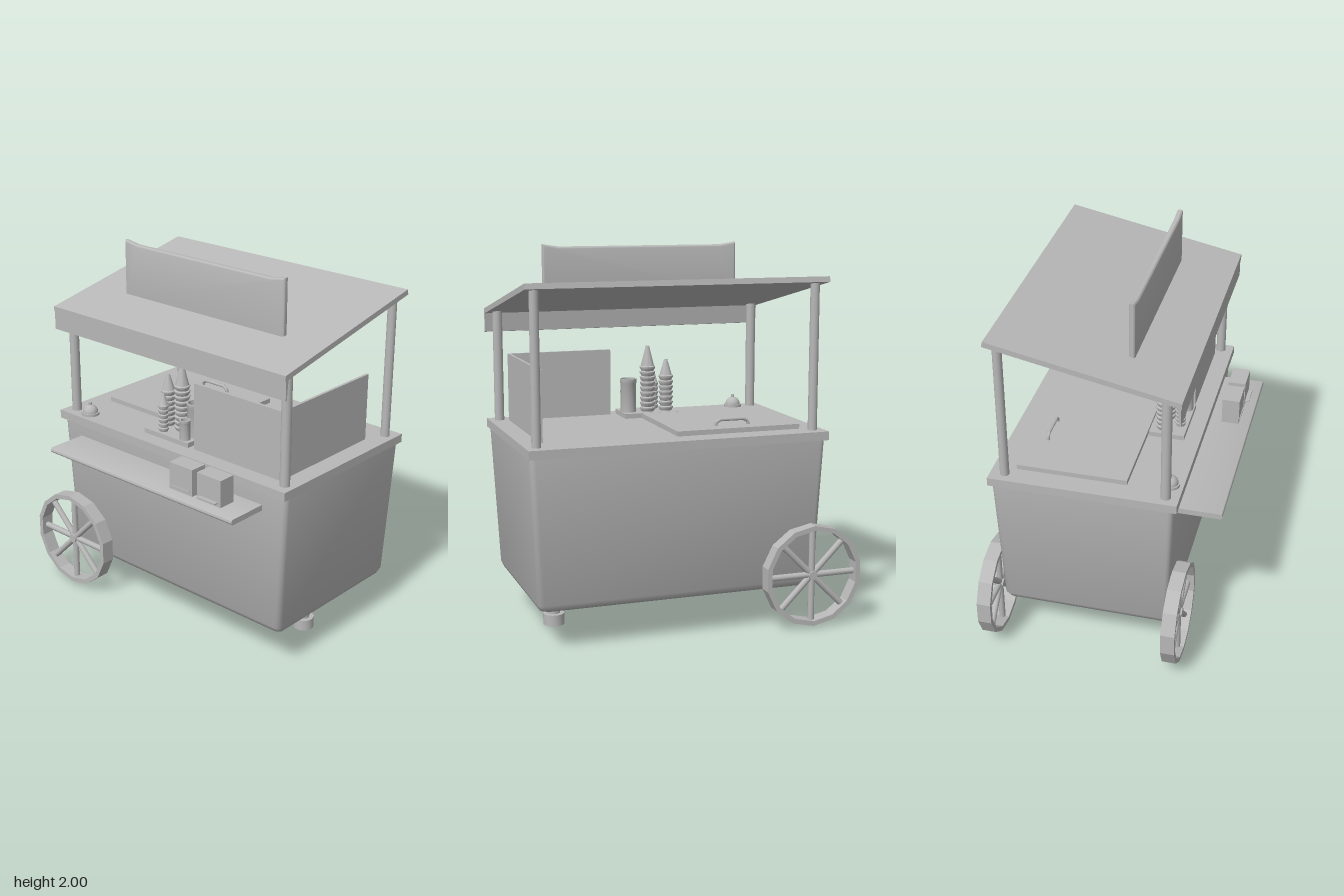
import * as THREE from 'three';
import { toCreasedNormals } from 'three/addons/utils/BufferGeometryUtils.js';

const grey = new THREE.MeshStandardMaterial({ color: 0xb8b8b8 });
grey.name = 'plain grey';

export function createModel() {
  const model = new THREE.Group();
  model.name = 'vendingCart';

  function add(name, geometry, x = 0, y = 0, z = 0, parent = model) {
    const mesh = new THREE.Mesh(geometry, grey);
    mesh.name = name;
    mesh.position.set(x, y, z);
    parent.add(mesh);
    return mesh;
  }
  // Box given by its limits
  const block = (name, x0, x1, y0, y1, z0, z1) =>
    add(name, new THREE.BoxGeometry(x1 - x0, y1 - y0, z1 - z0), (x0 + x1) / 2, (y0 + y1) / 2, (z0 + z1) / 2);
  const cyl = (r, h, sides = 16) => new THREE.CylinderGeometry(r, r, h, sides);
  const lathe = (pts, sides, crease = 0.6, start = 0) =>
    toCreasedNormals(new THREE.LatheGeometry(pts.map(p => new THREE.Vector2(...p)), sides, start), crease);
  const shapeOf = pts => new THREE.Shape(pts.map(p => new THREE.Vector2(...p)));

  // Tapered tub, lofted through rounded rectangles
  const rings = [ // y, x0, x1, z0, z1
    [0.21, -0.335, 0.505, -0.62, 0.81],
    [0.22, -0.352, 0.522, -0.64, 0.832],
    [0.25, -0.37, 0.538, -0.655, 0.846],
    [1.0, -0.39, 0.558, -0.692, 0.884],
  ];
  const pos = [], idx = [], steps = 4, n = 4 * (steps + 1), r = 0.03;
  for (const [y, x0, x1, z0, z1] of rings) {
    const corners = [[x1 - r, z1 - r], [x0 + r, z1 - r], [x0 + r, z0 + r], [x1 - r, z0 + r]];
    corners.forEach(([cx, cz], k) => {
      for (let i = 0; i <= steps; i++) {
        const a = (k + i / steps) * Math.PI / 2;
        pos.push(cx + r * Math.cos(a), y, cz + r * Math.sin(a));
      }
    });
  }
  for (let k = 0; k < rings.length - 1; k++) {
    for (let i = 0; i < n; i++) {
      const a = k * n + i, b = k * n + (i + 1) % n;
      idx.push(a, a + n, b, b, a + n, b + n);
    }
  }
  for (let i = 1; i < n - 1; i++) idx.push(0, i, i + 1);
  const tub = new THREE.BufferGeometry();
  tub.setAttribute('position', new THREE.Float32BufferAttribute(pos, 3));
  tub.setIndex(idx);
  add('body', toCreasedNormals(tub, 0.75));

  block('countertop', -0.41, 0.574, 1.0, 1.046, -0.703, 0.892);

  // Roof posts
  for (const z of [0.836, -0.642]) {
    add('rightPost', cyl(0.026, 0.6), -0.341, 1.34, z);
    add('leftPost', cyl(0.024, 0.775), 0.498, 1.4275, z);
  }

  // Sloping roof and hanging fascia
  const roof = new THREE.ExtrudeGeometry(
    shapeOf([[-0.424, 1.618], [0.553, 1.818], [0.547, 1.846], [-0.424, 1.647]]), { depth: 1.592, bevelEnabled: false });
  add('roof', roof, 0, 0, -0.701);
  const fascia = new THREE.ExtrudeGeometry(
    shapeOf([[-0.42, 1.52], [-0.412, 1.522], [-0.402, 1.63], [-0.42, 1.63]]), { depth: 1.592, bevelEnabled: false });
  add('fascia', fascia, 0, 0, -0.701);

  // Sign board with raised corners, drawn in z-y
  const board = new THREE.ExtrudeGeometry(
    shapeOf([[-0.436, 1.7], [0.628, 1.7], [0.628, 1.988], [0.55, 1.975], [-0.358, 1.975], [-0.436, 1.988]]),
    { depth: 0.01, bevelSize: 0.012, bevelThickness: 0.011, bevelSegments: 3 });
  board.rotateY(-Math.PI / 2);
  add('signBoard', toCreasedNormals(board, 0.6), -0.114, 0, 0);

  // Food guard: front and side panels
  block('frontGuard', -0.315, 0.385, 1.046, 1.41, 0.775, 0.79);
  block('sideGuard', -0.315, -0.3, 1.046, 1.41, 0.215, 0.775);

  // Hatch lid with its handle
  block('hatchLid', -0.13, 0.45, 1.046, 1.072, -0.59, 0.088);
  const grip = new THREE.CurvePath();
  const path = [[1.06, -0.152], [1.09, -0.157], [1.103, -0.18], [1.103, -0.31], [1.09, -0.333], [1.06, -0.338]]
    .map(([y, z]) => new THREE.Vector3(0.36, y, z));
  for (let i = 1; i < path.length; i++) grip.add(new THREE.LineCurve3(path[i - 1], path[i]));
  add('hatchHandle', new THREE.TubeGeometry(grip, 30, 0.009, 8));

  // Service bell
  add('bellBase', cyl(0.05, 0.014, 20), -0.34, 1.053, -0.535);
  add('bellDome', new THREE.SphereGeometry(0.042, 20, 8, 0, Math.PI * 2, 0, Math.PI / 2), -0.34, 1.06, -0.535);
  add('bellButton', cyl(0.009, 0.018, 10), -0.34, 1.107, -0.535);

  // Tray with stacks of cones, a canister and a cup
  block('tray', -0.325, -0.135, 1.046, 1.072, -0.135, 0.18);
  function coneStack(x, z, radius, height, ribs) {
    const ribTop = height * 0.7, pts = [[0, 0]];
    for (let i = 0; i < ribs; i++) {
      const y = ribTop * i / ribs, d = ribTop / ribs;
      pts.push([radius * 0.78, y], [radius, y + d * 0.6], [radius, y + d * 0.85]);
    }
    pts.push([radius * 0.85, ribTop], [radius * 0.22, height], [0, height]);
    add('coneStack', lathe(pts, 14), x, 1.07, z);
  }
  coneStack(-0.205, 0.03, 0.043, 0.365, 9);
  coneStack(-0.2, -0.075, 0.04, 0.287, 7);
  coneStack(-0.285, -0.03, 0.028, 0.215, 6);
  function jar(name, x, z, radius, height) {
    const t = 0.008;
    add(name, lathe([[0, 0], [radius * 0.94, 0], [radius * 0.94, height * 0.85], [radius, height * 0.88],
      [radius, height], [radius - t, height], [radius - t, height * 0.8], [0, height * 0.8]], 16), x, 1.07, z);
  }
  jar('canister', -0.22, 0.137, 0.046, 0.186);
  jar('cup', -0.292, 0.13, 0.03, 0.11);

  // Side shelf with rounded outer edge
  const shelf = new THREE.Shape();
  shelf.moveTo(-0.38, 0.895);
  shelf.lineTo(-0.38, 0.925);
  shelf.lineTo(-0.602, 0.925);
  shelf.absarc(-0.602, 0.91, 0.015, Math.PI / 2, Math.PI * 1.5, false);
  shelf.closePath();
  add('shelf', toCreasedNormals(new THREE.ExtrudeGeometry(shelf, { depth: 1.295, bevelEnabled: false, curveSegments: 6 }), 0.7), 0, 0, -0.56);

  // Dispensers on the shelf, each with a low tab
  [[0.265, 0.42, 0.557], [0.452, 0.608, 0.574]].forEach(([z0, z1, reach]) => {
    block('dispenser', -0.552, -0.457, 0.925, 1.07, z0, z1);
    block('dispenserTab', -reach, -0.545, 0.942, 0.95, z0 + 0.018, z1 - 0.018);
  });

  // Spoked wheels
  for (const x of [0.576, -0.414]) {
    const wheel = new THREE.Group();
    wheel.name = x > 0 ? 'leftWheel' : 'rightWheel';
    wheel.position.set(x, 0.285, -0.618);
    model.add(wheel);
    const w = 0.037;
    const rim = lathe([[0.246, -w], [0.272, -w], [0.272, w], [0.246, w], [0.246, -w]], 14, 0.4, Math.PI / 2);
    add('rim', rim.rotateZ(Math.PI / 2), 0, 0, 0, wheel);
    for (let i = 0; i < 4; i++) {
      add('spokePair', cyl(0.017, 0.505, 10), 0, 0, 0, wheel).rotation.x = i * Math.PI / 4;
    }
    add('hub', cyl(0.024, 0.05, 12), 0, 0, 0, wheel).rotation.z = Math.PI / 2;
  }

  // Front support leg with a hollow foot
  add('leg', cyl(0.033, 0.18), 0.078, 0.135, 0.656);
  add('foot', lathe([[0, 0.04], [0.034, 0.04], [0.034, 0], [0.057, 0], [0.057, 0.06], [0, 0.06]], 16), 0.08, 0, 0.656);

  return model;
}
